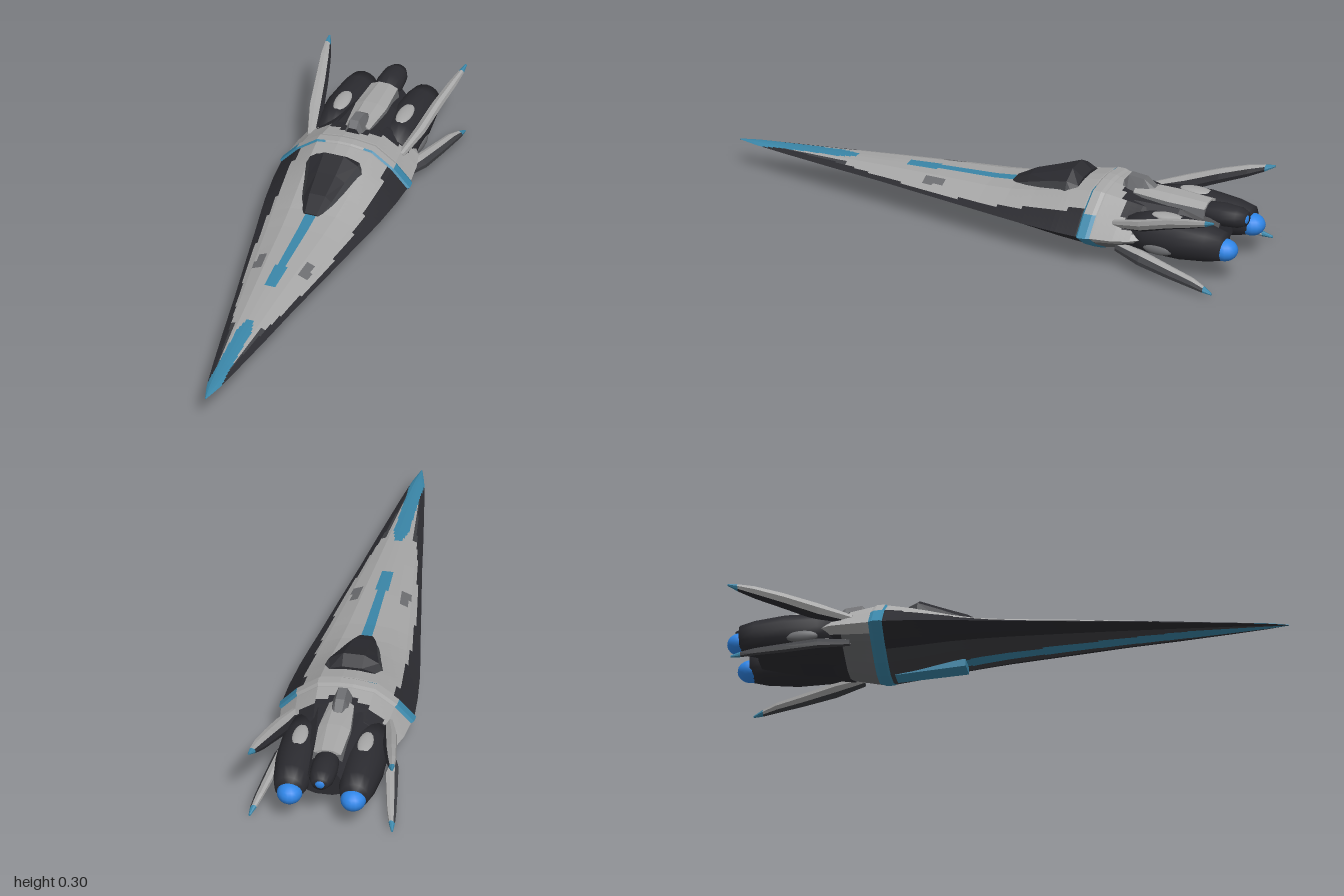
import * as THREE from 'three';

const paint = (name, color) => {
  const m = new THREE.MeshStandardMaterial({ color, side: THREE.DoubleSide });
  m.name = name;
  return m;
};
const mats = [
  paint('light grey', 0xa6a6a6), paint('black', 0x2b2b30), paint('charcoal', 0x3f4044),
  paint('mid grey', 0x6c6d70), paint('teal', 0x3a86a8), paint('engine blue', 0x2f86e8),
];
const LIGHT = 0, BLACK = 1, CHARCOAL = 2, GREY = 3, TEAL = 4, BLUE = 5;

// Linear lookup in a table of rows whose first entry (z) decreases
function sample(table, z) {
  let i = 0;
  while (i < table.length - 2 && z < table[i + 1][0]) i++;
  const a = table[i], b = table[i + 1];
  const t = THREE.MathUtils.clamp((z - a[0]) / (b[0] - a[0]), 0, 1);
  return a.map((v, k) => v + (b[k] - v) * t);
}

// Skin over rings running front to back; rule(centre, j) picks the colour of each facet
function loft(name, rings, rule) {
  const faces = mats.map(() => []);
  const add = (k, ...pts) => pts.forEach((p) => faces[k].push(p.x, p.y, p.z));
  const n = rings[0].length;
  const mean = (pts) => pts.reduce((s, p) => s.add(p), new THREE.Vector3()).divideScalar(pts.length);
  for (let i = 0; i < rings.length - 1; i++) {
    for (let j = 0; j < n; j++) {
      const a = rings[i][j], b = rings[i][(j + 1) % n];
      const c = rings[i + 1][(j + 1) % n], d = rings[i + 1][j];
      add(rule(mean([a, b, c, d]), j), a, b, c, a, c, d);
    }
  }
  [rings[0], rings[rings.length - 1]].forEach((ring, end) => {
    const c = mean(ring);
    for (let j = 0; j < n; j++) {
      const a = ring[j], b = ring[(j + 1) % n];
      add(rule(mean([a, b, c]), j), c, end ? a : b, end ? b : a);
    }
  });
  const geo = new THREE.BufferGeometry();
  let start = 0;
  faces.forEach((f, k) => {
    if (f.length) geo.addGroup(start, f.length / 3, k);
    start += f.length / 3;
  });
  geo.setAttribute('position', new THREE.Float32BufferAttribute(faces.flat(), 3));
  geo.computeVertexNormals();
  const mesh = new THREE.Mesh(geo, mats);
  mesh.name = name;
  return mesh;
}

// Hull stations: z, half width, chine height, top, bottom
const HULL = [
  [1, 0.002, 0.113, 0.115, 0.111], [0.93, 0.022, 0.114, 0.122, 0.108], [0.8, 0.046, 0.115, 0.129, 0.104],
  [0.6, 0.08, 0.117, 0.142, 0.098], [0.4, 0.112, 0.12, 0.156, 0.09], [0.2, 0.147, 0.121, 0.168, 0.08],
  [0, 0.181, 0.122, 0.177, 0.068], [-0.1, 0.199, 0.123, 0.188, 0.058], [-0.2, 0.216, 0.124, 0.208, 0.044],
  [-0.33, 0.232, 0.126, 0.242, 0.02], [-0.42, 0.238, 0.127, 0.26, 0.008], [-0.48, 0.234, 0.128, 0.259, 0.01],
  [-0.56, 0.225, 0.13, 0.245, 0.03], [-0.62, 0.21, 0.135, 0.232, 0.05], [-0.68, 0.17, 0.14, 0.215, 0.08],
];
const SECTION = [
  [0, 1], [0.1, 1], [0.43, 0.92], [0.75, 0.5], [1, 0], [0.75, -0.4], [0.4, -0.8], [0.15, -1], [0, -1],
];
function hullRing(z, grow = 1) {
  const [, w, mid, top, bottom] = sample(HULL, z);
  const half = [];
  for (let i = 0; i < SECTION.length - 1; i++) {
    for (let k = 0; k < 5; k++) {
      const u = THREE.MathUtils.lerp(SECTION[i][0], SECTION[i + 1][0], k / 5);
      const v = THREE.MathUtils.lerp(SECTION[i][1], SECTION[i + 1][1], k / 5);
      half.push(new THREE.Vector3(u * w * grow, mid + v * grow * (v > 0 ? top - mid : mid - bottom), z));
    }
  }
  const low = new THREE.Vector3(0, mid - (mid - bottom) * grow, z);
  const other = half.slice(1).reverse().map((p) => new THREE.Vector3(-p.x, p.y, z));
  return [...half, low, ...other];
}

// Where the light deck gives way to the dark flank, as a share of the half width
const DECK = [[1, 0.5], [0.6, 0.72], [0.4, 0.86], [0.2, 0.9], [0, 0.86], [-0.2, 0.77], [-0.42, 0.7]];
function hullPaint(p) {
  const [, w, mid] = sample(HULL, p.z);
  const x = Math.abs(p.x), u = x / w;
  if (p.y < mid) {
    if (p.z < -0.46) return u < 0.85 ? (p.z < -0.58 ? BLACK : GREY) : LIGHT;
    if (p.z > -0.16 && x < Math.min(0.028, w * 0.4)) return TEAL;
    return u > 0.62 ? BLACK : CHARCOAL;
  }
  if (p.z < -0.46) return p.z < -0.51 - 0.4 * x && x < 0.18 ? BLACK : LIGHT;
  if (p.z > 0.53 && x < Math.min(0.026, (p.z - 0.5) * 0.3)) return TEAL;
  if (p.z < 0.33 && p.z > -0.1 && x < 0.019) return TEAL;
  if (u > sample(DECK, p.z)[1]) return BLACK;
  if (p.z > 0.16 && p.z < 0.25 && Math.abs(x - 0.09) < 0.016) return GREY;
  if (p.z > 0.55 && u > 0.55) return CHARCOAL;
  return LIGHT;
}

// Blade fin swept back: rows of z, x, y, radial half, tangential half
function fin(name, side, lower) {
  const rows = lower ? [
    [-0.55, 0.165, 0.085, 0.02, 0.012], [-0.66, 0.2, 0.075, 0.03, 0.017], [-0.78, 0.222, 0.055, 0.025, 0.016],
    [-0.88, 0.24, 0.04, 0.02, 0.013], [-0.93, 0.25, 0.028, 0.013, 0.01], [-0.965, 0.257, 0.019, 0.004, 0.004],
  ] : [
    [-0.54, 0.165, 0.17, 0.022, 0.013], [-0.66, 0.193, 0.2, 0.034, 0.019], [-0.78, 0.216, 0.242, 0.03, 0.018],
    [-0.88, 0.238, 0.272, 0.024, 0.015], [-0.94, 0.251, 0.289, 0.014, 0.01], [-0.975, 0.258, 0.3, 0.004, 0.004],
  ];
  const phi = side * (lower ? 2.25 : 0.75);
  const rings = rows.map(([z, x, y, r, t]) => Array.from({ length: 8 }, (_, j) => {
    const a = (j / 8) * Math.PI * 2, s = Math.sin(a) * t, c = Math.cos(a) * r;
    return new THREE.Vector3(side * x + s * Math.cos(phi) + c * Math.sin(phi), y + c * Math.cos(phi) - s * Math.sin(phi), z);
  }));
  return loft(name, rings, (p, j) => {
    if (p.z < -0.935) return TEAL;
    const outer = j < 2 || j > 5;
    return outer !== lower ? LIGHT : lower ? CHARCOAL : BLACK;
  });
}

// Section given by its right half, top to bottom, mirrored into a closed ring
const mirrored = (z, pts) => [
  ...pts.map(([x, y]) => new THREE.Vector3(x, y, z)),
  ...pts.slice().reverse().map(([x, y]) => new THREE.Vector3(-x, y, z)),
];

export function createModel() {
  const ship = new THREE.Group();
  ship.name = 'spaceship';
  const put = (name, geo, k, x, y, z, sx = 1, sy = 1, sz = 1) => {
    const m = new THREE.Mesh(geo, mats[k]);
    m.name = name;
    m.position.set(x, y, z);
    m.scale.set(sx, sy, sz);
    ship.add(m);
    return m;
  };

  // Needle hull and raised collar
  const rings = [];
  for (let i = 0; i <= 84; i++) rings.push(hullRing(1 - i * 0.02));
  ship.add(loft('hull', rings, hullPaint));
  ship.add(loft('collar', [[-0.425, 1], [-0.432, 1.035], [-0.462, 1.035], [-0.475, 1]].map(([z, g]) => hullRing(z, g)),
    (p) => (p.y > 0.2 && (Math.abs(p.x) < 0.07 || p.z < -0.445) ? LIGHT : TEAL)));

  // Canopy with flat spine and sloping cheeks
  ship.add(loft('canopy', [
    mirrored(-0.08, [[0.022, 0.19], [0.032, 0.18], [0.035, 0.165]]),
    mirrored(-0.15, [[0.03, 0.227], [0.052, 0.205], [0.068, 0.18]]),
    mirrored(-0.24, [[0.035, 0.258], [0.07, 0.235], [0.095, 0.19]]),
    mirrored(-0.32, [[0.038, 0.288], [0.09, 0.258], [0.118, 0.2]]),
    mirrored(-0.36, [[0.036, 0.258], [0.08, 0.245], [0.11, 0.2]]),
  ], (p, j) => (j === 5 || j === 0 || j === 4 ? BLACK : CHARCOAL)));

  // Belly keel
  ship.add(loft('keel', [
    mirrored(-0.155, [[0.038, 0.05], [0.038, 0.024]]),
    mirrored(-0.41, [[0.034, 0.05], [0.034, 0.008]]),
  ], () => TEAL));

  // Engine block, dorsal spine and hump
  ship.add(loft('engineBlock', [
    mirrored(-0.58, [[0.08, 0.235], [0.17, 0.18], [0.16, 0.08], [0.06, 0.05]]),
    mirrored(-0.75, [[0.06, 0.225], [0.13, 0.17], [0.12, 0.09], [0.05, 0.07]]),
    mirrored(-0.9, [[0.04, 0.2], [0.07, 0.16], [0.06, 0.11], [0.03, 0.1]]),
  ], () => BLACK));
  ship.add(loft('dorsalSpine', [
    mirrored(-0.56, [[0.022, 0.262], [0.045, 0.245], [0.055, 0.2]]),
    mirrored(-0.7, [[0.025, 0.26], [0.058, 0.242], [0.064, 0.2]]),
    mirrored(-0.84, [[0.02, 0.25], [0.05, 0.236], [0.055, 0.2]]),
  ], (p, j) => (j === 1 || j === 3 ? GREY : LIGHT)));
  ship.add(loft('dorsalHump', [
    mirrored(-0.51, [[0.014, 0.272], [0.034, 0.24]]),
    mirrored(-0.53, [[0.016, 0.296], [0.036, 0.24]]),
    mirrored(-0.59, [[0.016, 0.29], [0.036, 0.24]]),
    mirrored(-0.63, [[0.014, 0.262], [0.03, 0.24]]),
  ], (p) => (p.z > -0.52 ? BLACK : GREY)));

  // Engines: lathed pods with glowing domes
  const lathe = (pts) => new THREE.LatheGeometry(pts.map(([r, y]) => new THREE.Vector2(r, y)), 16).rotateX(-Math.PI / 2);
  const pod = lathe([[0, 0], [0.06, 0], [0.076, 0.08], [0.078, 0.2], [0.066, 0.31], [0.052, 0.365], [0, 0.37]]);
  const midPod = lathe([[0, 0], [0.04, 0], [0.049, 0.1], [0.044, 0.16], [0.03, 0.19], [0, 0.19]]);
  const ball = new THREE.SphereGeometry(1, 16, 10);
  for (const [side, word] of [[1, 'left'], [-1, 'right']]) {
    put(word + 'Engine', pod, BLACK, side * 0.118, 0.145, -0.585);
    put(word + 'EngineGlow', ball, BLUE, side * 0.115, 0.13, -0.95, 0.046, 0.04, 0.05);
    put(word + 'EngineTopPanel', ball, LIGHT, side * 0.118, 0.216, -0.73, 0.028, 0.012, 0.065);
    put(word + 'EngineSidePanel', ball, GREY, side * 0.182, 0.115, -0.72, 0.016, 0.022, 0.06);
    ship.add(fin(word + 'UpperFin', side, false), fin(word + 'LowerFin', side, true));
  }
  put('centreEngine', midPod, BLACK, 0, 0.208, -0.795, 1, 0.85, 1);
  put('centreEngineGlow', ball, BLUE, 0, 0.205, -0.97, 0.027, 0.024, 0.02);

  return ship;
}
